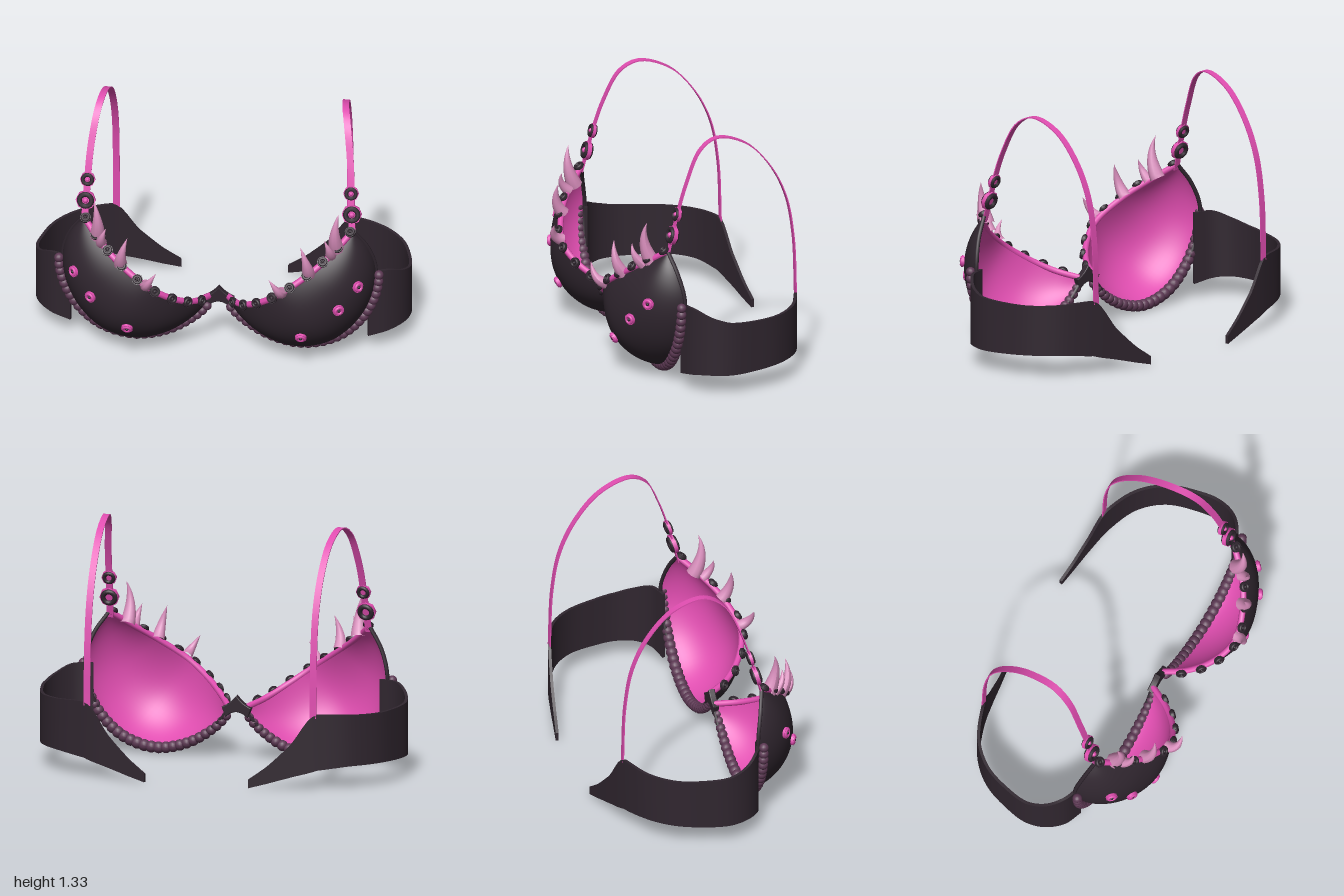
import * as THREE from 'three';
import { toCreasedNormals } from 'three/addons/utils/BufferGeometryUtils.js';

const V = (x, y, z) => new THREE.Vector3(x, y, z);
const curve = (pts) => new THREE.CatmullRomCurve3(pts.map((p) => V(...p)));
const mat = (color, side = THREE.FrontSide) => new THREE.MeshStandardMaterial({ color, side, roughness: 0.8 });
const dark = mat(0x30262f), pink = mat(0xe04db0), mauve = mat(0x5c3853), horn = mat(0xd78dbb);
const lining = mat(0xe04db0, THREE.BackSide);

function add(parent, name, geo, material) {
  const m = new THREE.Mesh(geo, material);
  m.name = name;
  parent.add(m);
  return m;
}

function build(pos, idx) {
  const g = new THREE.BufferGeometry();
  g.setAttribute('position', new THREE.Float32BufferAttribute(pos, 3));
  g.setIndex(idx);
  g.computeVertexNormals();
  return g;
}

// Open surface from fn(u, v)
function grid(fn, nu, nv) {
  const pos = [], idx = [];
  for (let i = 0; i <= nu; i++) for (let j = 0; j <= nv; j++) pos.push(...fn(i / nu, j / nv).toArray());
  for (let i = 0; i < nu; i++) for (let j = 0; j < nv; j++) {
    const a = i * (nv + 1) + j, b = a + nv + 1;
    idx.push(a, a + 1, b, b, a + 1, b + 1);
  }
  return build(pos, idx);
}

// Strip with a rectangular section; fn(t) gives centre c and half axes a, b (a x b runs along the strip)
function strip(fn, n) {
  const pos = [], idx = [];
  for (let i = 0; i <= n; i++) {
    const { c, a, b } = fn(i / n);
    for (const [p, q] of [[-1, -1], [1, -1], [1, 1], [-1, 1]])
      pos.push(...c.clone().addScaledVector(a, p).addScaledVector(b, q).toArray());
  }
  for (let i = 0; i < n; i++) for (let k = 0; k < 4; k++) {
    const p = i * 4 + k, q = i * 4 + (k + 1) % 4;
    idx.push(p, q, p + 4, q, q + 4, p + 4);
  }
  const e = n * 4;
  idx.push(0, 3, 2, 0, 2, 1, e, e + 1, e + 2, e, e + 2, e + 3);
  return toCreasedNormals(build(pos, idx), 0.7);
}

// Tapered horn bending from base to tip
function hornGeo(base, ctrl, tip, r) {
  const path = new THREE.QuadraticBezierCurve3(base, ctrl, tip);
  const n = 10, sides = 10, g = new THREE.TubeGeometry(path, n, r, sides, false);
  const p = g.attributes.position, v = V(0, 0, 0);
  for (let i = 0; i < p.count; i++) {
    const t = Math.floor(i / (sides + 1)) / n, c = path.getPointAt(t);
    v.fromBufferAttribute(p, i).sub(c).multiplyScalar(Math.max(0.01, 1 - Math.pow(t, 1.3))).add(c);
    p.setXYZ(i, v.x, v.y, v.z);
  }
  g.computeVertexNormals();
  return g;
}

// Round stud: disc, raised ring and centre, facing along normal
function stud(parent, name, at, normal, r, discMat, ringMat, centreMat, sides = 16) {
  const s = new THREE.Group();
  s.name = name;
  add(s, 'studDisc', new THREE.CylinderGeometry(r, r, r * 0.4, sides).rotateX(Math.PI / 2), discMat);
  for (const z of [-1, 1])
    add(s, 'studRing', new THREE.TorusGeometry(r * 0.62, r * 0.26, 8, 16).translate(0, 0, z * r * 0.2), ringMat);
  add(s, 'studCentre', new THREE.SphereGeometry(r * 0.28, 10, 8).translate(0, 0, r * 0.25), centreMat);
  s.position.copy(at);
  s.quaternion.setFromUnitVectors(V(0, 0, 1), normal.clone().normalize());
  parent.add(s);
}

function createHalf() {
  const half = new THREE.Group();

  // Cup: a dome between its sloping top edge and its rim
  const top = curve([[0.05, 0.275, 0.22], [0.12, 0.305, 0.34], [0.22, 0.37, 0.44], [0.34, 0.455, 0.49],
    [0.5, 0.565, 0.445], [0.62, 0.655, 0.36], [0.71, 0.735, 0.265]]);
  const rim = curve([[0.05, 0.25, 0.215], [0.13, 0.16, 0.22], [0.28, 0.065, 0.225], [0.45, 0.03, 0.225],
    [0.62, 0.08, 0.225], [0.75, 0.205, 0.22], [0.82, 0.36, 0.21], [0.83, 0.5, 0.205], [0.79, 0.63, 0.23], [0.72, 0.735, 0.26]]);
  const dome = (inset) => (u, v) => {
    const t = top.getPointAt(u), b = rim.getPointAt(u), a = v * Math.PI / 2;
    const d = t.z - b.z, p = t.clone().lerp(b, Math.sin(a));
    p.z = b.z + d * (Math.cos(a) + 0.2 * Math.sin(2 * a) * Math.cos(a)) - inset * Math.cos(a);
    return p;
  };
  const cupGeo = grid(dome(0), 48, 24);
  add(half, 'cup', cupGeo, dark);
  add(half, 'cupLining', grid(dome(0.014), 48, 24), lining);
  add(half, 'topEdgeTape', new THREE.TubeGeometry(top, 48, 0.017, 8), pink);
  add(half, 'rimWire', new THREE.TubeGeometry(rim, 64, 0.011, 6), dark);

  // Nearest point and normal on the cup
  const onCup = (x, y, z) => {
    const P = cupGeo.attributes.position, N = cupGeo.attributes.normal, target = V(x, y, z), v = V(0, 0, 0);
    let best = 0, dist = Infinity;
    for (let i = 0; i < P.count; i++) {
      const d = v.fromBufferAttribute(P, i).distanceTo(target);
      if (d < dist) { dist = d; best = i; }
    }
    return [V(0, 0, 0).fromBufferAttribute(P, best), V(0, 0, 0).fromBufferAttribute(N, best)];
  };

  // Beads around the lower rim
  const beads = 29;
  for (let i = 0; i < beads; i++) {
    const t = 0.03 + 0.75 * i / (beads - 1), p = rim.getPointAt(t), d = rim.getTangentAt(t);
    const r = 0.024 + 0.008 * Math.sin(Math.PI * Math.min(1, t * 1.2));
    add(half, 'bead', new THREE.SphereGeometry(r, 14, 10), mauve)
      .position.set(p.x + d.y * 0.018, p.y - d.x * 0.006 + 0.005, 0.23);
  }

  // Studs along the top edge
  for (let i = 0; i < 9; i++) {
    const p = top.getPointAt(0.1 + 0.89 * i / 8), n = onCup(p.x, p.y, p.z)[1].add(V(-0.1, 0.35, 0.1)).normalize();
    stud(half, 'edgeStud', p.addScaledVector(n, 0.016), n, 0.029, dark, dark, dark);
  }

  // Rivets on the cup face
  for (const c of [[0.755, 0.475, 0.375], [0.675, 0.36, 0.46], [0.47, 0.185, 0.48]]) {
    const [p, n] = onCup(...c);
    stud(half, 'cupRivet', p.addScaledVector(n, 0.008), n, 0.031, pink, pink, dark);
  }

  // Horns, base / bend / tip / radius
  for (const [b, c, t, r] of [
    [[0.635, 0.665, 0.325], [0.62, 0.79, 0.39], [0.65, 0.89, 0.355], 0.042],
    [[0.61, 0.645, 0.365], [0.61, 0.70, 0.43], [0.58, 0.76, 0.415], 0.03],
    [[0.5, 0.565, 0.435], [0.5, 0.64, 0.5], [0.46, 0.745, 0.475], 0.036],
    [[0.36, 0.47, 0.485], [0.36, 0.49, 0.56], [0.3, 0.58, 0.55], 0.032],
  ]) add(half, 'horn', hornGeo(V(...b), V(...c), V(...t), r), horn);

  // Side band, tapering to a narrow end: x, z, bottom, top
  const rows = [[0.79, 0.21, 0.08, 0.47], [0.89, 0.175, 0.1, 0.468], [0.96, 0.1, 0.11, 0.43], [0.99, 0, 0.11, 0.4],
    [0.975, -0.12, 0.113, 0.392], [0.92, -0.28, 0.12, 0.39], [0.81, -0.4, 0.12, 0.395], [0.64, -0.475, 0.1, 0.4],
    [0.5, -0.508, 0.06, 0.23], [0.38, -0.53, 0.025, 0.115], [0.285, -0.548, 0, 0.045]];
  const line = curve(rows.map(([x, z]) => [x, 0, z]));
  const edges = curve(rows.map(([, , lo, hi]) => [lo, hi, 0]));
  add(half, 'sideBand', strip((t) => {
    const c = line.getPoint(t), e = edges.getPoint(t);
    const a = V(0, 1, 0).cross(line.getTangent(t)).multiplyScalar(0.008);
    c.y = (e.x + e.y) / 2;
    return { c, a, b: V(0, (e.y - e.x) / 2, 0) };
  }, 60), dark);

  // Shoulder strap
  const strapPath = curve([[0.712, 0.71, 0.262], [0.705, 0.83, 0.232], [0.7, 0.95, 0.2], [0.69, 1.1, 0.15], [0.665, 1.27, 0.065],
    [0.645, 1.323, -0.035], [0.632, 1.27, -0.2], [0.625, 1.13, -0.335], [0.622, 0.95, -0.425], [0.622, 0.72, -0.468], [0.622, 0.38, -0.482]]);
  add(half, 'shoulderStrap', strip((t) => {
    const d = strapPath.getTangentAt(t), b = d.clone().cross(V(1, 0, 0)).normalize();
    return { c: strapPath.getPointAt(t), a: b.clone().cross(d).negate().normalize().multiplyScalar(-0.018), b: b.multiplyScalar(0.003) };
  }, 60), pink);

  // Ornaments on the strap
  const facing = V(0.05, 0.25, 0.97);
  stud(half, 'strapOrnament', V(0.707, 0.825, 0.233), facing, 0.053, pink, dark, pink, 8);
  stud(half, 'strapOrnament', V(0.7, 0.935, 0.204), facing, 0.041, pink, dark, pink, 8);
  return half;
}

export function createModel() {
  const model = new THREE.Group();
  model.name = 'brassiere';
  const left = createHalf(), right = createHalf();
  left.name = 'leftHalf';
  right.name = 'rightHalf';
  right.scale.x = -1;
  model.add(left, right);

  // Centre bridge joining the cups
  const s = new THREE.Shape();
  s.moveTo(-0.075, 0.27);
  s.quadraticCurveTo(-0.03, 0.29, 0, 0.33);
  s.quadraticCurveTo(0.03, 0.29, 0.075, 0.27);
  s.lineTo(0.06, 0.225);
  s.quadraticCurveTo(0, 0.28, -0.06, 0.225);
  const bridge = new THREE.ExtrudeGeometry(s, { depth: 0.025, bevelSize: 0.005, bevelThickness: 0.005, bevelSegments: 2 });
  add(model, 'centreBridge', bridge.translate(0, 0, 0.205), dark);
  return model;
}
